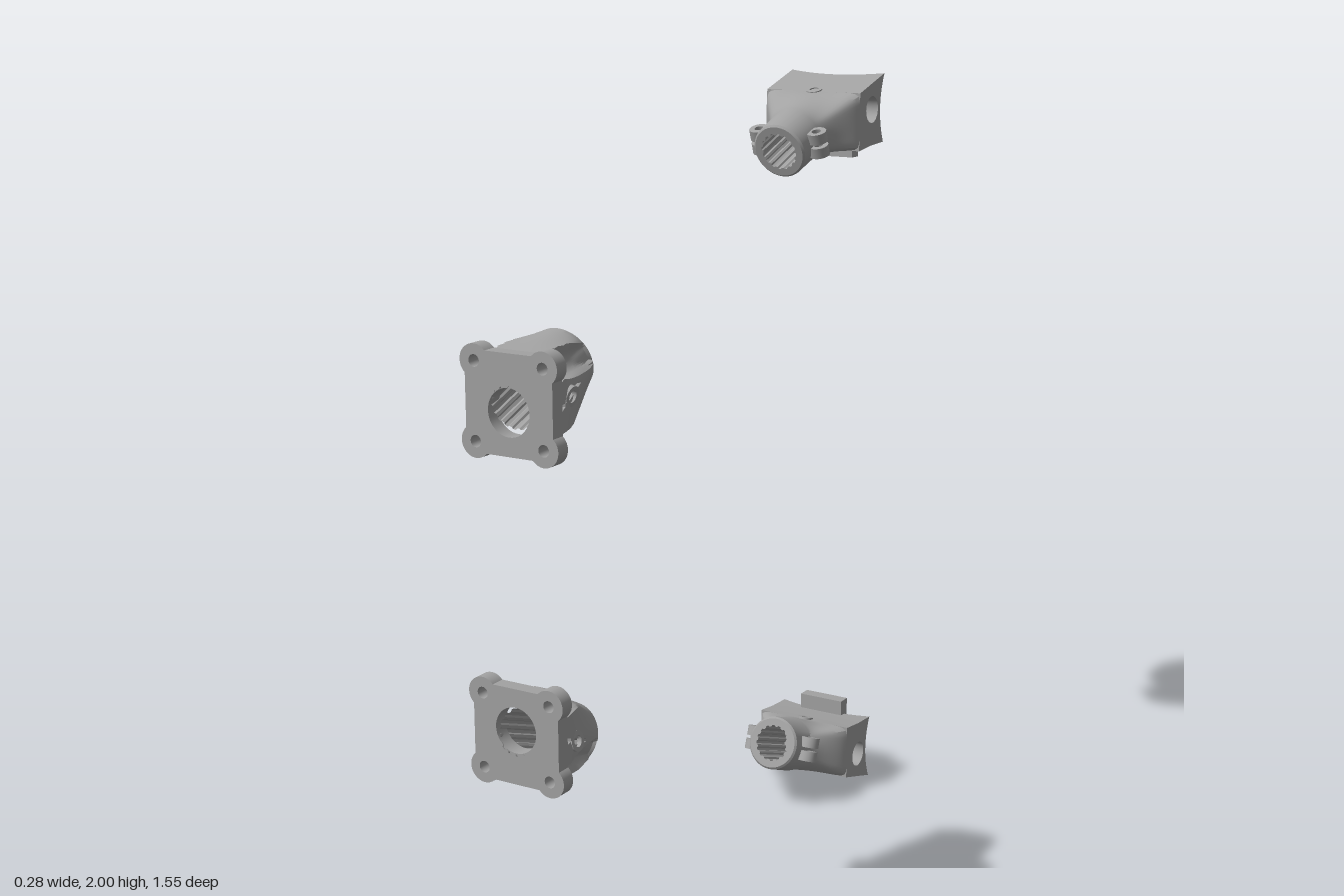
import * as THREE from 'three';
import { toCreasedNormals } from 'three/addons/utils/BufferGeometryUtils.js';

const N = 96; // points around every lofted section
const TILT = 0.355; // slope of the tube axis
const S = Math.sin(TILT), C = Math.cos(TILT);
const grey = new THREE.MeshStandardMaterial({ color: 0xa2a2a2 });
grey.name = 'grey metal';

function addMesh(parent, name, geo) {
  const mesh = new THREE.Mesh(geo, grey);
  mesh.name = name;
  parent.add(mesh);
  return mesh;
}

// sharp edges stay sharp; scaled up so that small details are not merged
function crease(geo) {
  return toCreasedNormals(geo.scale(100, 100, 100), 0.5).scale(0.01, 0.01, 0.01);
}

function section(fn) {
  return Array.from({ length: N }, (_, j) => fn((j / N) * Math.PI * 2, j));
}

// circle square to the tilted tube axis
function circle(cy, cz, r, ribs = 0) {
  return section((a, j) => {
    const q = r - (j % 6 < 3 ? ribs : 0);
    return new THREE.Vector3(q * Math.cos(a), cy + q * Math.sin(a) * C, cz + q * Math.sin(a) * S);
  });
}

// upright rounded rectangle
function roundedRect(cy, cz, hx, hy, n) {
  return section(a => {
    const c = Math.cos(a), s = Math.sin(a);
    const r = Math.pow(Math.pow(Math.abs(c / hx), n) + Math.pow(Math.abs(s / hy), n), -1 / n);
    return new THREE.Vector3(r * c, cy + r * s, cz);
  });
}

function loft(rings) {
  const pos = [], index = [];
  rings.forEach(ring => ring.forEach(p => pos.push(p.x, p.y, p.z)));
  for (let i = 0; i < rings.length - 1; i++) {
    for (let j = 0; j < N; j++) {
      const k = (j + 1) % N;
      const a = i * N + j, b = i * N + k, d = a + N, c = b + N;
      index.push(a, d, b, b, d, c);
    }
  }
  const geo = new THREE.BufferGeometry();
  geo.setAttribute('position', new THREE.Float32BufferAttribute(pos, 3));
  geo.setIndex(index);
  return crease(geo);
}

// ring with a hole, axis along y
function ringGeometry(inner, outer, h) {
  const p = [[inner, -h], [outer, -h], [outer, h], [inner, h], [inner, -h]];
  return crease(new THREE.LatheGeometry(p.map(q => new THREE.Vector2(...q)), 24));
}

function holePath(x, y, r) {
  return new THREE.Path().absarc(x, y, r, 0, Math.PI * 2, true);
}

// square flange with bolt lobes, tapering to a tilted socket
function flangeBracket() {
  const g = new THREE.Group();
  const cy = 1.383, bolt = 0.09, plateBack = 0.735;

  const shape = new THREE.Shape();
  for (let k = 0; k < 4; k++) {
    const a = k * Math.PI / 2;
    const x = bolt * Math.SQRT2 * Math.cos(a + Math.PI / 4);
    const y = bolt * Math.SQRT2 * Math.sin(a + Math.PI / 4);
    shape.absarc(x, y, 0.038, a - 0.85, a + Math.PI / 2 + 0.85, false);
    shape.holes.push(holePath(x, y, 0.014));
  }
  shape.closePath();
  shape.holes.push(holePath(0, -0.016, 0.055));
  const plate = new THREE.ExtrudeGeometry(shape, { depth: 0.772 - plateBack, bevelEnabled: false, curveSegments: 20 });
  addMesh(g, 'flangePlate', crease(plate.translate(0, cy, plateBack)));

  // tapered body with bolt channels cut parallel to z
  const base = roundedRect(cy, plateBack, 0.115, 0.115, 14);
  const end = circle(1.45, 0.556, 0.077);
  const rings = [];
  for (let i = 0; i <= 10; i++) {
    const t = i / 10, my = THREE.MathUtils.lerp(cy, 1.45, t);
    rings.push(base.map((b, j) => {
      const p = b.clone().lerp(end[j], t);
      const len = Math.hypot(p.x, p.y - my), dx = p.x / len, dy = (p.y - my) / len;
      const ex = Math.sign(p.x) * bolt, ey = cy + Math.sign(p.y - my) * bolt - my;
      const along = ex * dx + ey * dy;
      const h = 0.034 ** 2 - (ex * ex + ey * ey - along * along);
      if (h > 0) {
        const r = Math.min(len, Math.max(along - Math.sqrt(h), 0.066));
        p.x = dx * r;
        p.y = my + dy * r;
      }
      return p;
    }));
  }
  rings.push(circle(1.452, 0.551, 0.072));
  rings.push(circle(1.452, 0.551, 0.055, 0.004));
  rings.push(circle(1.374, 0.76, 0.055, 0.004));
  addMesh(g, 'taperedSocket', loft(rings));

  // rims of the cross holes
  for (const side of [-1, 1]) {
    const rim = addMesh(g, 'sideHoleRim', ringGeometry(0.014, 0.024, 0.006));
    rim.position.set(side * 0.104, 1.4, 0.686);
    rim.rotation.z = side * (Math.PI / 2 - 0.2);
  }
  const rim = addMesh(g, 'lowerHoleRim', ringGeometry(0.012, 0.021, 0.005));
  rim.position.set(0, 1.305, 0.665);
  rim.rotation.x = 0.49;
  return g;
}

// saddle block with a cross hole, flaring from a tilted clamp tube
function saddleBracket() {
  const g = new THREE.Group();
  const hx = 0.138, back = -0.772, front = -0.63, low = 1.82, mid = 1.91, hy = 0.09;
  const dip = v => 0.022 * (1 - v * v);

  const shape = new THREE.Shape();
  shape.moveTo(front, 1.807);
  shape.lineTo(front, 1.957);
  for (let i = 0; i <= 16; i++) {
    const v = 1 - i / 8;
    shape.lineTo(back + dip(v), mid + hy * v);
  }
  shape.lineTo(-0.70, low - 0.004);
  shape.closePath();
  shape.holes.push(holePath(-0.702, mid, 0.035));
  const block = new THREE.ExtrudeGeometry(shape, { depth: 2 * hx, steps: 20, bevelEnabled: false, curveSegments: 24 });
  block.rotateY(-Math.PI / 2).translate(hx, 0, 0);
  // second hollow crossing the first on the back face
  const p = block.attributes.position;
  for (let i = 0; i < p.count; i++) {
    const v = (p.getY(i) - mid) / hy, z = p.getZ(i);
    if (Math.abs(z - back - dip(v)) < 1e-4) {
      const moved = back + Math.max(dip(v), dip(p.getX(i) / hx));
      p.setZ(i, moved);
      if (v > 0.99) p.setY(i, p.getY(i) - 0.3 * (moved - z));
    }
  }
  addMesh(g, 'saddleBlock', crease(block));

  // bore, tube mouth, tube and flare
  const at = (z, r, ribs) => circle(1.816 - (z + 0.443) * 0.37, z, r, ribs);
  const rings = [at(-0.61, 0), at(-0.61, 0.05, 0.004), at(-0.443, 0.05, 0.004), at(-0.443, 0.068), at(-0.448, 0.073)];
  const neck = at(-0.53, 0.075), rect = roundedRect(1.882, front, hx, 0.075, 10);
  for (let i = 0; i <= 10; i++) {
    const t = i / 10, e = 0.6 * t + 0.4 * t * t * (3 - 2 * t);
    rings.push(neck.map((q, j) => {
      const w = q.clone().lerp(rect[j], e);
      w.z = THREE.MathUtils.lerp(q.z, rect[j].z, t);
      return w;
    }));
  }
  addMesh(g, 'clampTube', loft(rings));

  // split clamp lugs on both sides
  for (const side of [-1, 1]) {
    for (const half of [-1, 1]) {
      const lug = addMesh(g, 'clampLug', ringGeometry(0.012, 0.026, 0.014));
      lug.position.set(side * 0.084, 1.837 + half * 0.019 * C, -0.5 + half * 0.019 * S);
      lug.rotation.x = TILT;
    }
  }

  // locating tab and screw hole rims
  addMesh(g, 'locatingTab', new THREE.BoxGeometry(0.13, 0.056, 0.036)).position.set(0, 1.805, -0.754);
  for (const [y, z] of [[1.957, -0.637], [1.809, -0.64]]) {
    const rim = addMesh(g, 'screwHoleRim', ringGeometry(0.012, 0.021, 0.005));
    rim.position.set(0, y, z);
    rim.rotation.x = 0.3;
  }
  return g;
}

export function createModel() {
  const model = new THREE.Group();
  model.name = 'bracketSet';
  for (const [name, flip] of [['upper', false], ['lower', true]]) {
    const front = flangeBracket(), back = saddleBracket();
    front.name = name + 'FlangeBracket';
    back.name = name + 'SaddleBracket';
    for (const g of [front, back]) {
      if (flip) {
        g.scale.y = -1;
        g.position.y = 2;
      }
      model.add(g);
    }
  }
  return model;
}
